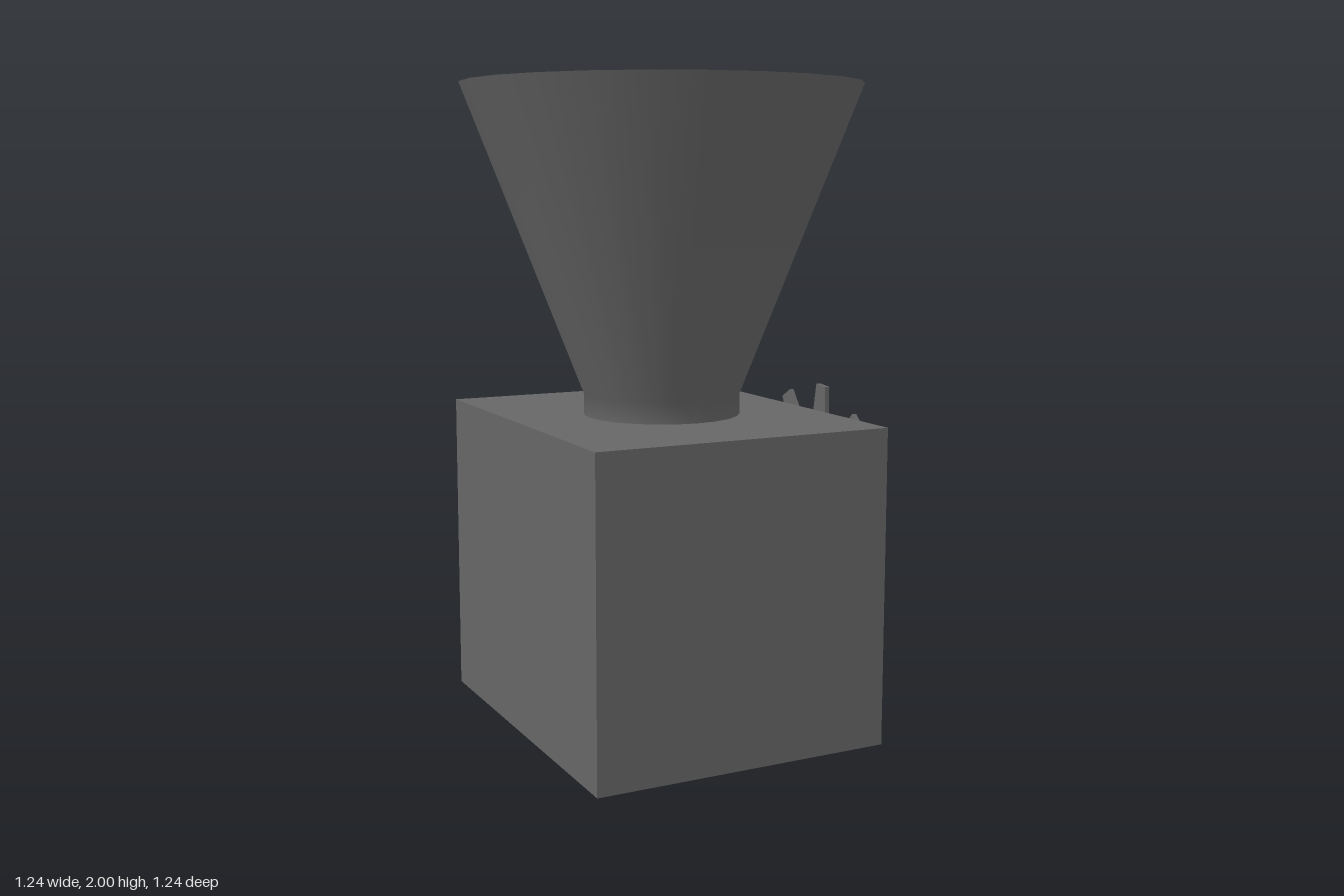
import * as THREE from 'three';

const polar = (r, deg) => new THREE.Vector2(
  r * Math.cos(THREE.MathUtils.degToRad(deg)),
  r * Math.sin(THREE.MathUtils.degToRad(deg))
);

const ring = (r, n) => Array.from({ length: n }, (_, i) => polar(r, (i * 360) / n));

// Gear outline: each tooth has two root corners and two narrower tip corners
function gearShape({ teeth, phase, root, tip, rootHalf, tipHalf }) {
  const pts = [];
  for (let i = 0; i < teeth; i++) {
    const a = phase + (i * 360) / teeth;
    pts.push(polar(root, a - rootHalf), polar(tip, a - tipHalf),
      polar(tip, a + tipHalf), polar(root, a + rootHalf));
  }
  return new THREE.Shape(pts);
}

export function createModel() {
  const group = new THREE.Group();
  const grey = new THREE.MeshStandardMaterial({ color: 0x666666 });
  grey.name = 'grey metal';

  const add = (name, geometry, x = 0, y = 0, z = 0) => {
    const mesh = new THREE.Mesh(geometry, grey);
    mesh.name = name;
    mesh.position.set(x, y, z);
    group.add(mesh);
    return mesh;
  };

  const lathe = (pts, n) =>
    new THREE.LatheGeometry(pts.map(([r, y]) => new THREE.Vector2(r, y)), n);

  // Machine housing
  add('housing', new THREE.BoxGeometry(0.95, 0.98, 1.148), -0.008, 0.49, -0.003);

  // Hopper: outer wall with neck, inner wall, and inward sloping rim
  add('hopperOuter', lathe([[0.246, 0.97], [0.246, 1.045], [0.62, 2]], 24));
  add('hopperInner', lathe([[0.545, 1.97], [0.198, 1.045], [0.198, 0.97]], 20));

  const rimShape = new THREE.Shape(ring(0.62, 24));
  rimShape.holes.push(new THREE.Path(ring(0.545, 20)));
  const rim = new THREE.ShapeGeometry(rimShape).rotateX(-Math.PI / 2);
  const p = rim.attributes.position;
  for (let i = 0; i < p.count; i++) {
    p.setY(i, Math.hypot(p.getX(i), p.getZ(i)) > 0.58 ? 2 : 1.97);
  }
  rim.computeVertexNormals();
  add('hopperRim', rim);

  // Two meshing gears on the right-hand wall, each with a tiny axle pin
  const gears = [
    { name: 'largeGear', x: 0.467, y: 0.71, z: 0.165, depth: 0.015,
      teeth: 10, phase: 95, root: 0.213, tip: 0.355, rootHalf: 11, tipHalf: 4.3 },
    { name: 'smallGear', x: 0.472, y: 0.43, z: -0.217, depth: 0.02,
      teeth: 5, phase: 63, root: 0.122, tip: 0.216, rootHalf: 22, tipHalf: 8.5 },
  ];
  for (const g of gears) {
    const geo = new THREE.ExtrudeGeometry(gearShape(g), { depth: g.depth, bevelEnabled: false });
    add(g.name, geo.rotateY(Math.PI / 2), g.x, g.y, g.z);
    const pin = new THREE.CylinderGeometry(0.005, 0.005, g.depth + 0.002, 8).rotateZ(-Math.PI / 2);
    add(g.name + 'Pin', pin, g.x + g.depth / 2, g.y, g.z);
  }

  return group;
}
